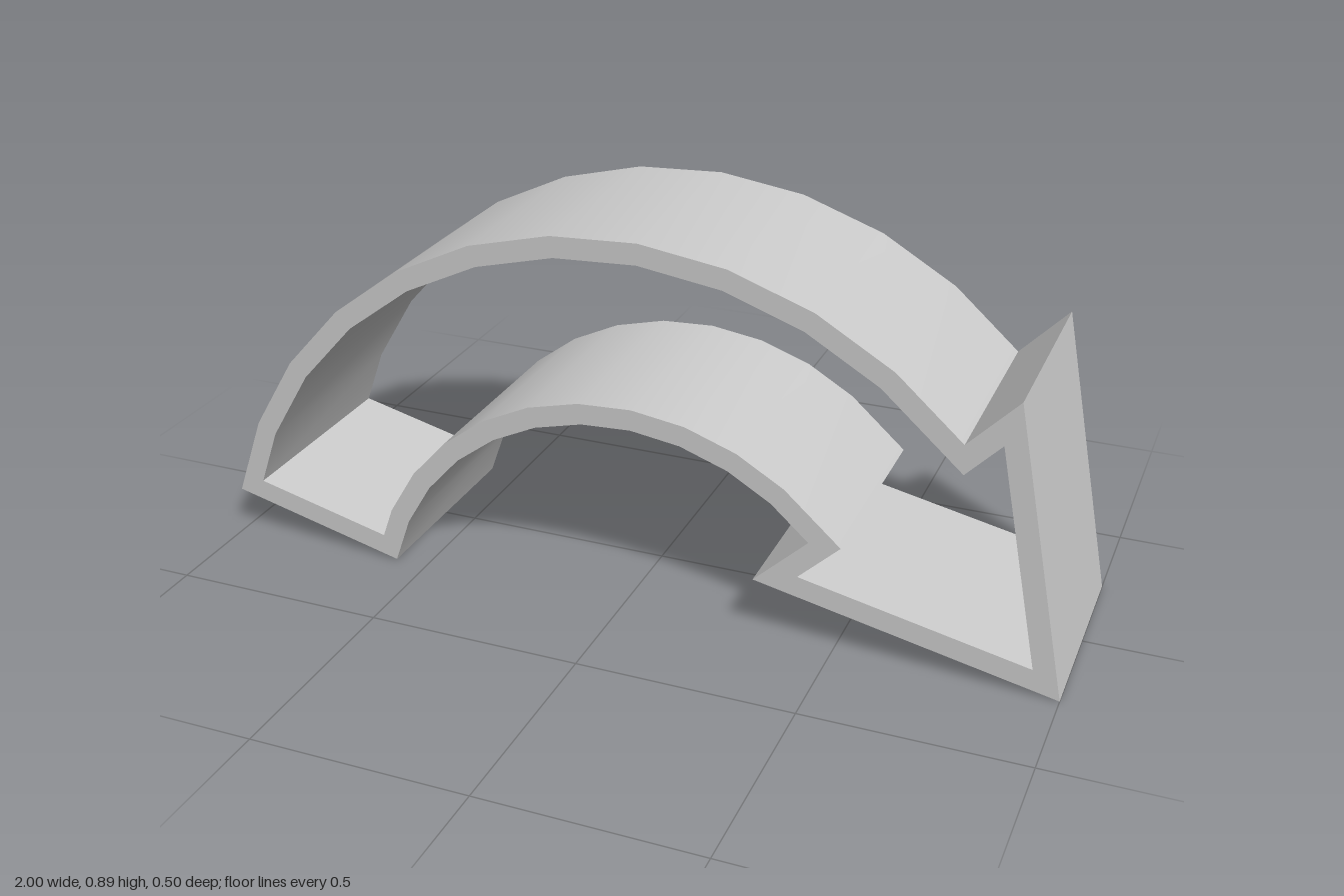
import * as THREE from 'three';
import { toCreasedNormals } from 'three/addons/utils/BufferGeometryUtils.js';

const CENTER_Y = -0.142, OUTER_R = 1.031, INNER_R = 0.596;
const START = 166, END = 42.6, STEPS = 11; // degrees, facets per arc
const WALL = 0.049, DEPTH = 0.504;

// Points along an arc around the shared centre
function arc(radius, from, to) {
  return Array.from({ length: STEPS + 1 }, (_, i) => {
    const a = THREE.MathUtils.degToRad(from + (to - from) * i / STEPS);
    return new THREE.Vector2(radius * Math.cos(a), CENTER_Y + radius * Math.sin(a));
  });
}

// Mitred inset of a closed clockwise outline
function inset(points, distance) {
  const n = points.length;
  return points.map((p, i) => {
    const d1 = p.clone().sub(points[(i + n - 1) % n]).normalize();
    const d2 = points[(i + 1) % n].clone().sub(p).normalize();
    const n1 = new THREE.Vector2(d1.y, -d1.x);
    const n2 = new THREE.Vector2(d2.y, -d2.x);
    const scale = distance / (1 + n1.dot(n2));
    return p.clone().addScaledVector(n1.add(n2), scale);
  });
}

export function createModel() {
  const group = new THREE.Group();
  group.name = 'curvedArrow';

  // Curved arrow outline: outer arc, arrowhead, inner arc
  const outline = [
    ...arc(OUTER_R, START, END),
    new THREE.Vector2(0.869, 0.67),
    new THREE.Vector2(1, 0),
    new THREE.Vector2(0.315, 0.144),
    ...arc(INNER_R, END, START),
  ];

  // Hollow wall of constant thickness, open at front and back;
  // the hole runs counter to the outline so its faces look inward
  const shape = new THREE.Shape(outline);
  shape.holes.push(new THREE.Path(inset(outline, WALL).reverse()));
  const extruded = new THREE.ExtrudeGeometry(shape, { depth: DEPTH, bevelEnabled: false });
  extruded.translate(0, 0, -DEPTH / 2);

  const wall = new THREE.Mesh(
    toCreasedNormals(extruded, THREE.MathUtils.degToRad(25)),
    new THREE.MeshStandardMaterial({ color: 0xcccccc })
  );
  wall.name = 'arrowWall';
  group.add(wall);
  return group;
}
